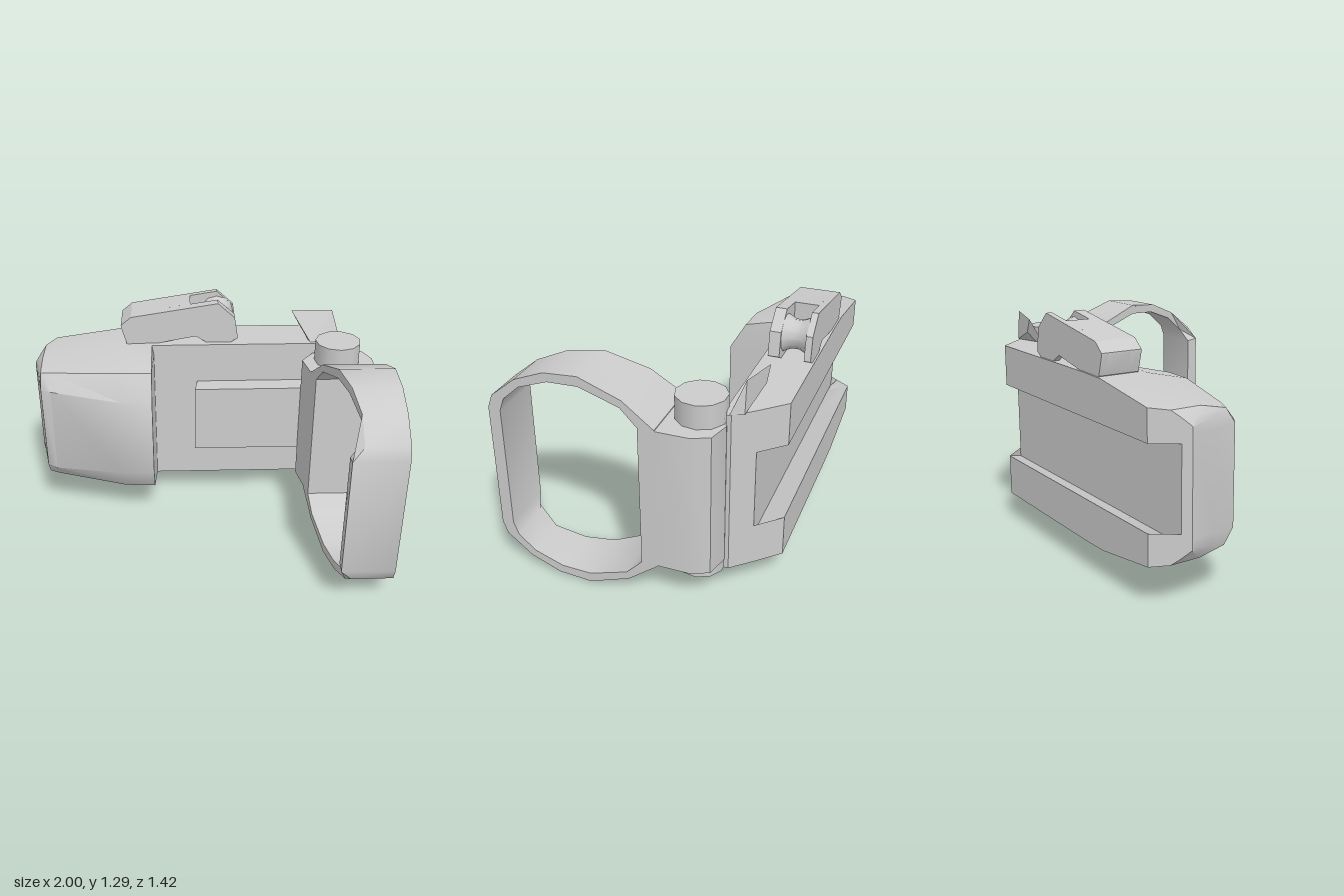
import * as THREE from 'three';
import { toCreasedNormals } from 'three/addons/utils/BufferGeometryUtils.js';
import { ConvexGeometry } from 'three/addons/geometries/ConvexGeometry.js';

const MID = 0.605; // height of the mirror plane between top and bottom
const mat = new THREE.MeshStandardMaterial({ color: 0xcccccc });
const lerp = THREE.MathUtils.lerp;
const vecs = (pts) => pts.map(([a, b]) => new THREE.Vector2(a, b));

function part(name, geo, crease = 0.5) {
  const mesh = new THREE.Mesh(toCreasedNormals(geo, crease), mat);
  mesh.name = name;
  return mesh;
}

const extrude = (shape, depth) => new THREE.ExtrudeGeometry(shape, { depth, bevelEnabled: false });

// Upright prism from an outline of [x, z] points
function prismY(pts, y0, y1) {
  const shape = new THREE.Shape(vecs(pts.map(([x, z]) => [x, -z])));
  return extrude(shape, y1 - y0).rotateX(-Math.PI / 2).translate(0, y0, 0);
}

// Prism from an outline of [x, y] points
const prismZ = (pts, z0, z1) => extrude(new THREE.Shape(vecs(pts)), z1 - z0).translate(0, 0, z0);

// Upper half of a loop plus its mirror image about MID; points are [z, half height]
const mirrored = (half) => [
  ...half.map(([z, h]) => [z, MID + h]),
  ...half.slice().reverse().map(([z, h]) => [z, MID - h]),
];

// Loft of [z, y] loops along x with closed ends
function loft(sections) {
  const n = sections[0].loop.length;
  const pos = [], idx = [];
  sections.forEach(({ x, loop }) => loop.forEach(([z, y]) => pos.push(x, y, z)));
  for (let i = 0; i < sections.length - 1; i++) {
    for (let j = 0; j < n; j++) {
      const a = i * n + j, b = i * n + (j + 1) % n;
      idx.push(a, b, b + n, a, b + n, a + n);
    }
  }
  const cap = (s) => THREE.ShapeUtils.triangulateShape(vecs(sections[s].loop.map(([z, y]) => [-z, y])), []);
  const last = sections.length - 1;
  cap(0).forEach(([a, b, c]) => idx.push(a, c, b));
  cap(last).forEach((f) => idx.push(...f.map((v) => v + last * n)));
  const geo = new THREE.BufferGeometry();
  geo.setAttribute('position', new THREE.Float32BufferAttribute(pos, 3));
  geo.setIndex(idx);
  return geo;
}

// Body: rounded grip on one end, slim plate on the other, dovetail channel along the back
function bodyGeometry() {
  // x, back z, front z, half height, half height of the flat front, rounded?
  const rows = [
    [-1, -0.545, -0.535, 0.295, 0.24, 1],
    [-0.97, -0.585, -0.4, 0.335, 0.25, 1],
    [-0.94, -0.625, -0.26, 0.37, 0.26, 1],
    [-0.88, -0.71, -0.22, 0.38, 0.26, 1],
    [-0.47, -0.71, -0.115, 0.44, 0.24, 1],
    [-0.29, -0.71, -0.105, 0.445, 0.23, 1],
    [-0.28, -0.71, -0.44, 0.445, 0.23, 0],
    [0.62, -0.71, -0.44, 0.445, 0.23, 0],
    [0.74, -0.585, -0.44, 0.445, 0.23, 0],
    [0.83, -0.485, -0.46, 0.445, 0.23, 0],
  ];
  return loft(rows.map(([x, back, front, h, k, round]) => ({
    x,
    loop: mirrored([
      [Math.max(back, -0.585), 0.265],
      [back, 0.215],
      [back, h],
      [round ? lerp(back, front, 0.45) : front, h],
      [round ? lerp(back, front, 0.85) : front, lerp(h, k, 0.28)],
      [front, k],
    ]),
  })));
}

// Ring: closed band in the zy plane whose inner side follows the slanted arm
function ringGeometry() {
  const outer = [[-0.17, 0.395], [-0.01, 0.52], [0.21, 0.603], [0.39, 0.59], [0.55, 0.525], [0.685, 0.415], [0.71, 0.345]];
  const inner = [[-0.085, 0.39], [0, 0.48], [0.21, 0.55], [0.37, 0.545], [0.53, 0.487], [0.62, 0.405], [0.645, 0.335]];
  const flat = (half) => vecs(mirrored(half).map(([z, y]) => [-z, y]));
  const shape = new THREE.Shape(flat(outer));
  shape.holes.push(new THREE.Path(flat(inner)));
  const geo = extrude(shape, 1).rotateY(Math.PI / 2);
  const p = geo.attributes.position;
  for (let i = 0; i < p.count; i++) {
    if (p.getX(i) > 0.5) continue;
    const z = p.getZ(i);
    const lip = z > 0.6 && Math.abs(p.getY(i) - MID) < 0.36;
    p.setX(i, lip ? 0.71 : Math.min(0.77, 0.62 + (z + 0.17) * 0.217));
  }
  return geo;
}

// Lever: solid tail, forked head and a waisted roller between the two cheeks
function lever() {
  const group = new THREE.Group();
  group.name = 'lever';
  const side = [[-0.47, 1.155], [-0.44, 1.05], [-0.41, 1.03], [-0.25, 1.05], [-0.03, 1.09], [0.05, 1.04],
    [0.16, 1.04], [0.22, 1.075], [0.2, 1.205], [0.1, 1.295], [-0.41, 1.215], [-0.47, 1.165]];
  const tail = [...side.slice(0, 4), [-0.06, 1.085], [-0.06, 1.27], ...side.slice(-2)];
  group.add(part('leverCheekFront', prismZ(side, -0.535, -0.475)));
  group.add(part('leverCheekBack', prismZ(side, -0.7, -0.665)));
  group.add(part('leverTail', prismZ(tail, -0.665, -0.535)));
  const waist = vecs([[0, -0.066], [0.1, -0.066], [0.078, -0.02], [0.078, 0.02], [0.1, 0.066], [0, 0.066]]);
  const roller = part('leverRoller', new THREE.LatheGeometry(waist, 12).rotateX(Math.PI / 2), 0.6);
  roller.position.set(0.1, 1.165, -0.6);
  group.add(roller);
  return group;
}

export function createModel() {
  const model = new THREE.Group();
  model.name = 'hingedRingMount';

  model.add(part('body', bodyGeometry(), 0.6));
  model.add(part('frontPad', prismY([[-0.04, -0.33], [0.64, -0.33], [0.64, -0.46], [-0.02, -0.46]], 0.4, 0.81)));

  // Hinge: block joined to the ring, with a pin through it
  const block = [[0.62, -0.17], [0.59, -0.33], [0.66, -0.42], [0.72, -0.455], [0.84, -0.465],
    [0.96, -0.435], [1, -0.34], [1, -0.17]];
  model.add(part('hingeBlock', prismY(block, MID - 0.39, MID + 0.39)));
  const pin = part('hingePin', new THREE.CylinderGeometry(0.13, 0.13, 0.99, 11), 0.7);
  pin.position.set(0.79, 0.625, -0.325);
  model.add(pin);

  model.add(part('ring', ringGeometry(), 0.55));

  // Small wedge-shaped catch beside the pin
  const catchPoints = [[0.545, 1.2, -0.585], [0.78, 1.22, -0.54], [0.83, 1.05, -0.475], [0.8, 1.05, -0.54],
    [0.59, 1.12, -0.58], [0.65, 1.05, -0.46], [0.64, 1.05, -0.5]];
  model.add(part('catch', new ConvexGeometry(catchPoints.map((p) => new THREE.Vector3(...p))), 0.2));

  model.add(lever());
  return model;
}
